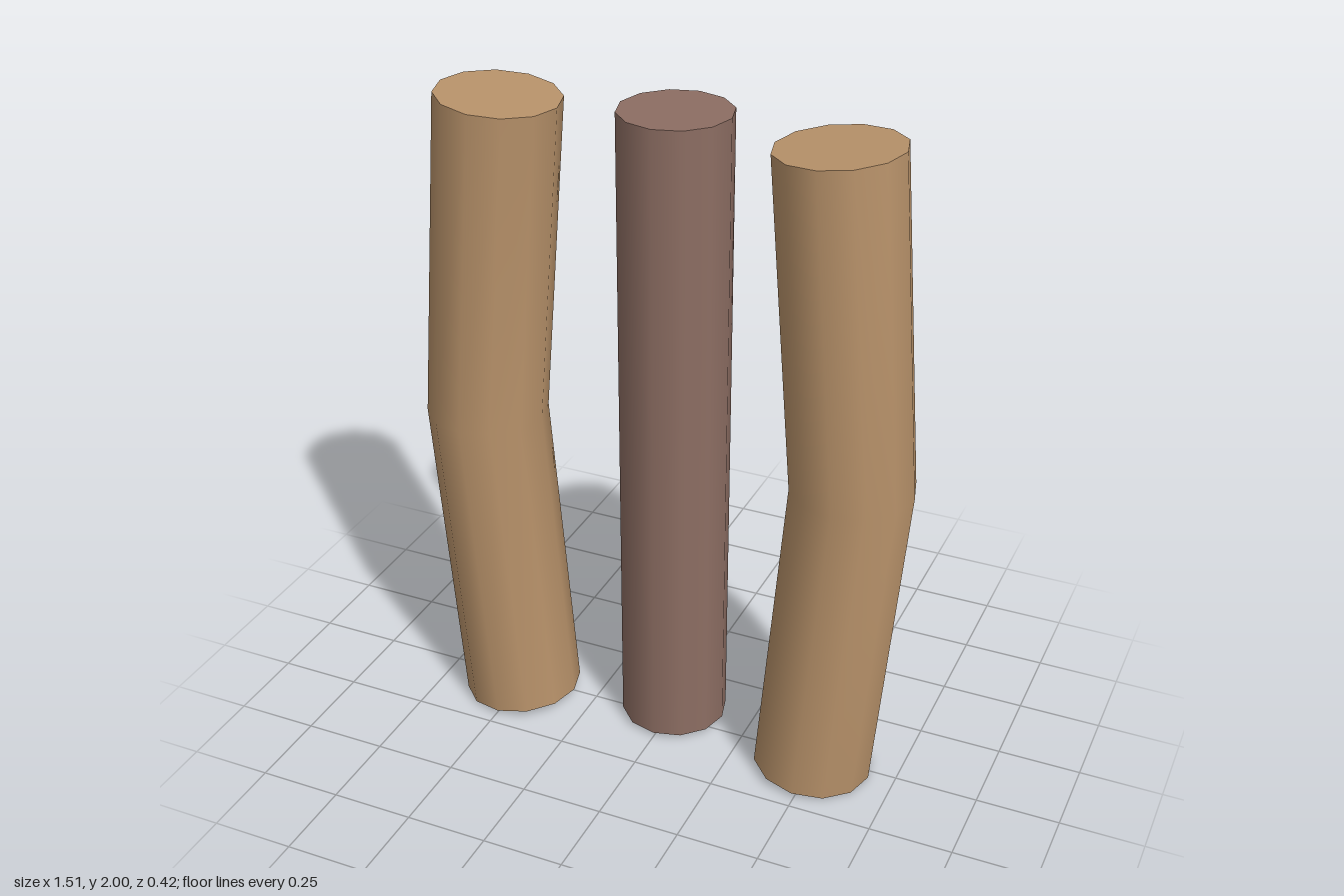
import * as THREE from 'three';

const tan = new THREE.MeshStandardMaterial({ name: 'tan wood', color: 0xb8926a });
const brown = new THREE.MeshStandardMaterial({ name: 'brown wood', color: 0x8d6e63 });

const LENGTH = 1.97;
const SIDES = 12;

// Log with a knee at mid height: each ring is tilted square to its half of the axis
function bentLog(radius, kneeX, endX) {
  const half = LENGTH / 2;
  const angle = Math.atan2(kneeX - endX, half);
  const geometry = new THREE.CylinderGeometry(radius, radius, LENGTH, SIDES, 2);
  const { position, normal } = geometry.attributes;
  const zAxis = new THREE.Vector3(0, 0, 1);
  const p = new THREE.Vector3();
  const n = new THREE.Vector3();
  for (let i = 0; i < position.count; i++) {
    p.fromBufferAttribute(position, i);
    n.fromBufferAttribute(normal, i);
    const t = p.y / half; // -1 bottom, 0 knee, 1 top
    p.y = 0;
    p.applyAxisAngle(zAxis, angle * t);
    n.applyAxisAngle(zAxis, angle * t);
    position.setXYZ(i, p.x + kneeX + (endX - kneeX) * Math.abs(t), p.y + half * t, p.z);
    normal.setXYZ(i, n.x, n.y, n.z);
  }
  return geometry;
}

export function createModel() {
  const group = new THREE.Group();
  group.name = 'logs';

  // Mirrored bent logs, bowing outward
  for (const side of [-1, 1]) {
    const log = new THREE.Mesh(bentLog(0.18, side * 0.574, side * 0.493), tan);
    log.name = side > 0 ? 'leftBentLog' : 'rightBentLog';
    log.position.set(0, 1, 0.031);
    group.add(log);
  }

  // Straight middle log, set slightly back
  const middle = new THREE.Mesh(new THREE.CylinderGeometry(0.163, 0.163, LENGTH, SIDES), brown);
  middle.name = 'middleLog';
  middle.position.set(0, 1, -0.049);
  group.add(middle);

  return group;
}
